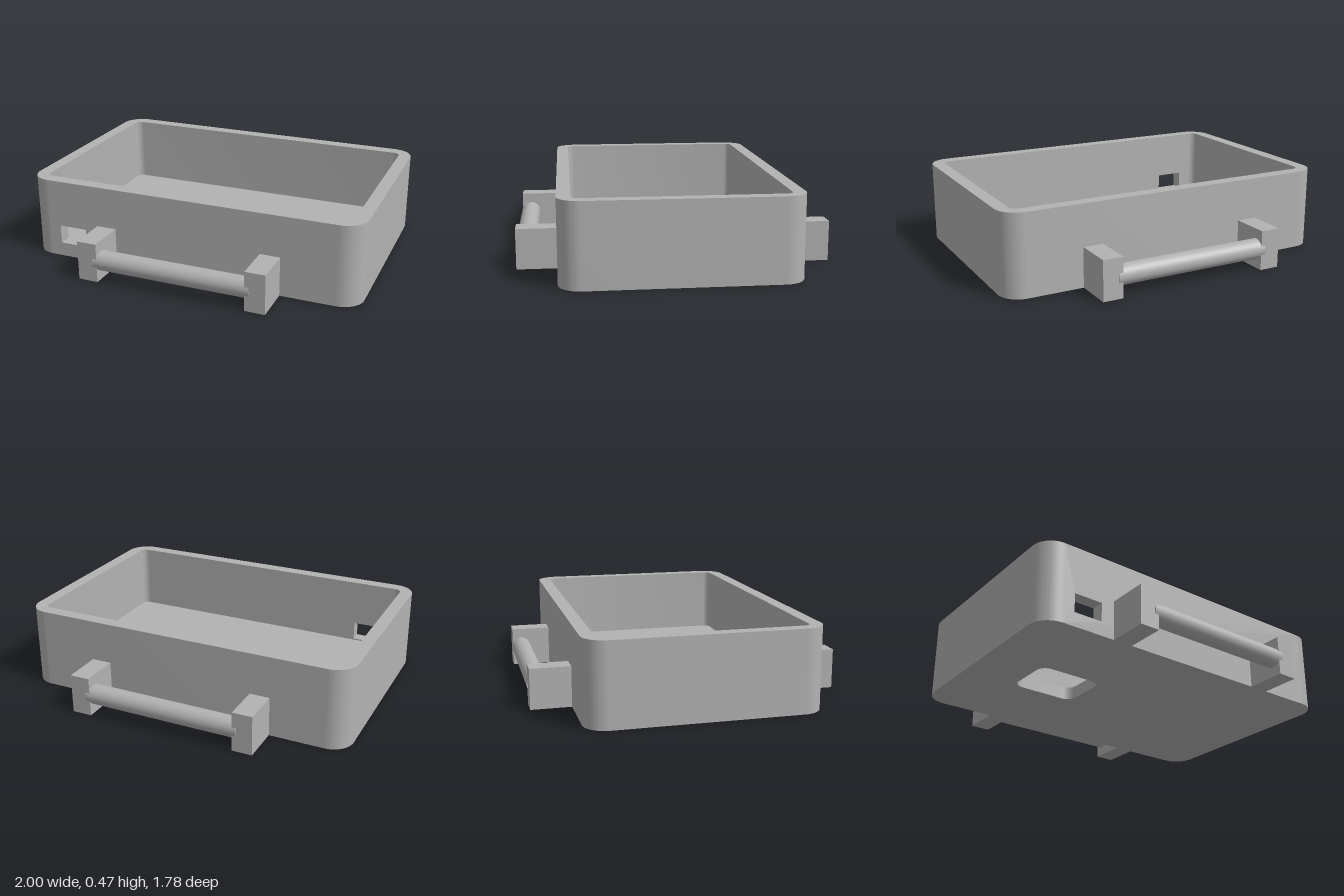
import * as THREE from 'three';
import { toCreasedNormals } from 'three/addons/utils/BufferGeometryUtils.js';

const W = 1, D = 0.655, H = 0.47;      // outer half width, half depth, height
const IW = 0.925, ID = 0.58;           // inner half width, half depth
const R = 0.125, IR = 0.04;            // outer and inner corner radii
const FLOOR = 0.075;

// Rectangle with rounded corners
function roundedRect(path, x0, y0, x1, y1, r) {
  const q = Math.PI / 2;
  path.moveTo(x0 + r, y0);
  path.absarc(x1 - r, y0 + r, r, -q, 0, false);
  path.absarc(x1 - r, y1 - r, r, 0, q, false);
  path.absarc(x0 + r, y1 - r, r, q, 2 * q, false);
  path.absarc(x0 + r, y0 + r, r, 2 * q, 3 * q, false);
  return path;
}

function extrude(shape, depth) {
  return toCreasedNormals(
    new THREE.ExtrudeGeometry(shape, { depth, bevelEnabled: false, curveSegments: 12 }), 0.5);
}

export function createModel() {
  const model = new THREE.Group();
  model.name = 'tray';
  const gray = new THREE.MeshStandardMaterial({ color: 0xb2b2b2 });
  gray.name = 'gray';
  const add = (name, geometry, parent = model) => {
    const mesh = new THREE.Mesh(geometry, gray);
    mesh.name = name;
    parent.add(mesh);
    return mesh;
  };

  // Floor with a rounded opening
  const floor = roundedRect(new THREE.Shape(), -IW, -ID, IW, ID, IR);
  floor.holes.push(roundedRect(new THREE.Path(), -0.68, -0.157, -0.287, 0.157, 0.06));
  add('floor', extrude(floor, FLOOR).rotateX(-Math.PI / 2));

  // Side and back walls with all four corners, open along the front
  const q = Math.PI / 2, px = W - R;
  const walls = new THREE.Shape();
  walls.moveTo(px, -D);
  walls.absarc(W - R, -D + R, R, -q, 0, false);
  walls.absarc(W - R, D - R, R, 0, q, false);
  walls.absarc(-W + R, D - R, R, q, 2 * q, false);
  walls.absarc(-W + R, -D + R, R, 2 * q, 3 * q, false);
  walls.lineTo(-px, -ID);
  walls.absarc(-IW + IR, -ID + IR, IR, 3 * q, 2 * q, true);
  walls.absarc(-IW + IR, ID - IR, IR, 2 * q, q, true);
  walls.absarc(IW - IR, ID - IR, IR, q, 0, true);
  walls.absarc(IW - IR, -ID + IR, IR, 0, -q, true);
  walls.lineTo(px, -ID);
  walls.closePath();
  add('walls', extrude(walls, H).rotateX(-Math.PI / 2));

  // Front wall panel with a rectangular slot
  const front = new THREE.Shape([[-px, 0], [px, 0], [px, H], [-px, H]]
    .map(([x, y]) => new THREE.Vector2(x, y)));
  front.holes.push(new THREE.Path([[-0.807, 0.083], [-0.807, 0.193], [-0.637, 0.193], [-0.637, 0.083]]
    .map(([x, y]) => new THREE.Vector2(x, y))));
  add('frontWall', extrude(front, D - ID).translate(0, 0, ID));

  // Handles on the front and the back: two posts and a round bar
  for (const [name, turn] of [['frontHandle', 0], ['backHandle', Math.PI]]) {
    const handle = new THREE.Group();
    handle.name = name;
    handle.rotation.y = turn;
    for (const s of [1, -1]) {
      add(s > 0 ? 'leftPost' : 'rightPost',
        new THREE.BoxGeometry(0.117, 0.23, 0.229).translate(s * 0.4985, 0.115, 0.7695), handle);
    }
    add('bar', new THREE.CylinderGeometry(0.058, 0.058, 0.93, 40)
      .rotateZ(Math.PI / 2).translate(0, 0.115, 0.832), handle);
    model.add(handle);
  }
  return model;
}
